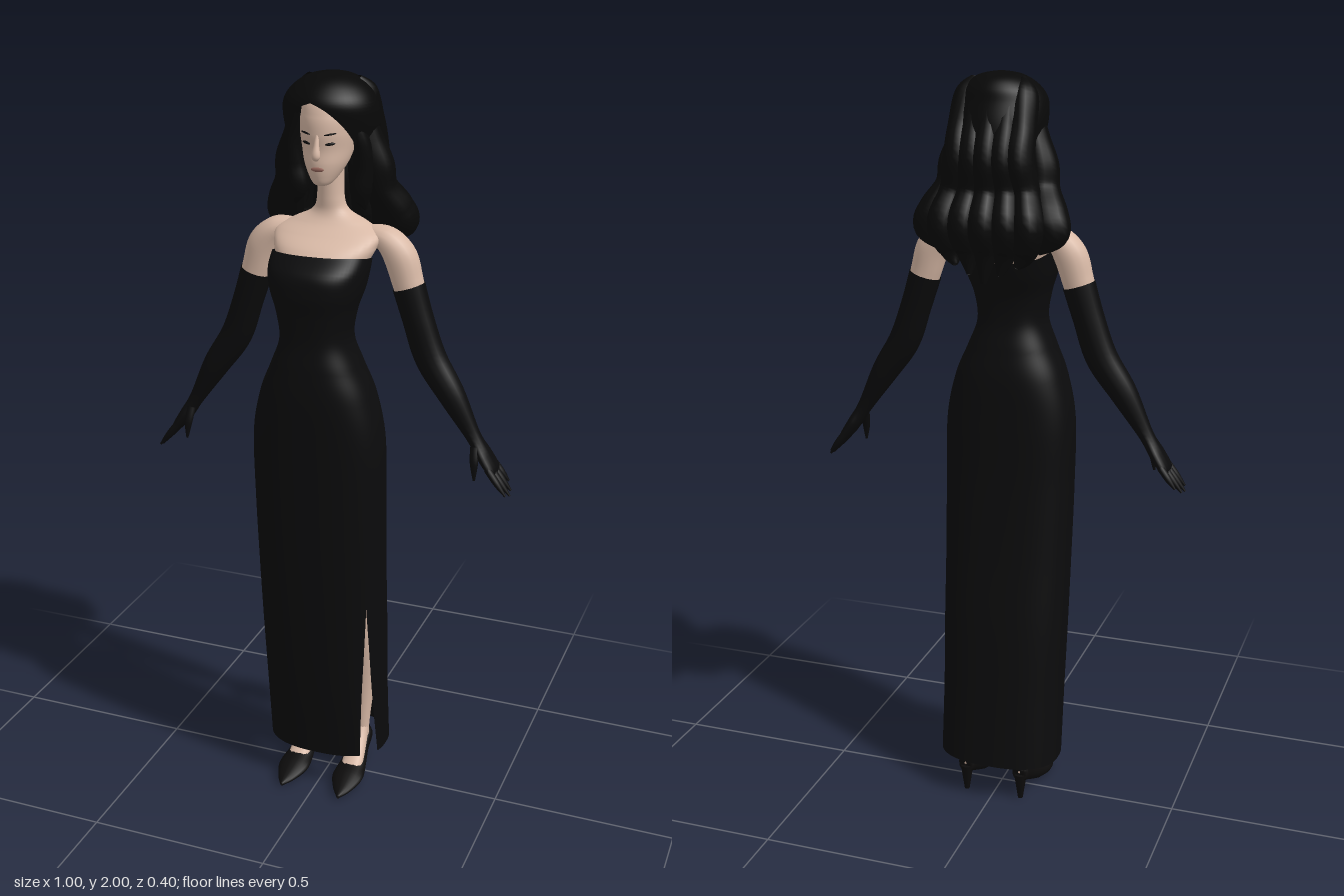
import * as THREE from 'three';
import { ParametricGeometry } from 'three/addons/geometries/ParametricGeometry.js';

const mat = (name, color, side = THREE.FrontSide) => {
  const m = new THREE.MeshStandardMaterial({ color, side });
  m.name = name;
  return m;
};

// Smooth interpolation through rows of numbers, t in 0..1
function rowAt(rows, t) {
  const n = rows.length;
  const s = Math.min(Math.max(t, 0), 1) * (n - 1);
  const i = Math.min(Math.floor(s), n - 2);
  const f = s - i;
  return rows[i].map((b, k) => {
    const a = rows[Math.max(i - 1, 0)][k];
    const c = rows[i + 1][k];
    const d = rows[Math.min(i + 2, n - 1)][k];
    return b + 0.5 * f * (c - a + f * (2 * a - 5 * b + 4 * c - d + f * (3 * (b - c) + d - a)));
  });
}

// Upright shell; rows are [y, centre x, half width, front z, back z].
// An optional opening leaves out a sector around one angle.
function shell(rows, { power = 1, centre = 0, gap = () => 0, top = () => 1, slices = 40, stacks = 40 } = {}) {
  const bend = (v) => Math.sign(v) * Math.pow(Math.abs(v), power);
  return new ParametricGeometry((u, v, p) => {
    const limit = top(centre + u * Math.PI * 2);
    const [y, cx, rx, zf, zb] = rowAt(rows, v * limit);
    const w = gap(y);
    const a = centre + w + (Math.PI * 2 - 2 * w) * u;
    p.set(cx + rx * bend(Math.sin(a)), y, (zf + zb) / 2 + ((zf - zb) / 2) * bend(Math.cos(a)));
  }, slices, stacks);
}

// Tapered limb; rows are [x, y, z, radius along ref, radius across ref]
function limb(rows, ref = new THREE.Vector3(0, 0, 1), slices = 14, stacks = rows.length * 5) {
  return new ParametricGeometry((u, v, p) => {
    const r = rowAt(rows, v);
    const e = 0.01;
    const lo = new THREE.Vector3(...rowAt(rows, v - e).slice(0, 3));
    const T = new THREE.Vector3(...rowAt(rows, v + e).slice(0, 3)).sub(lo).normalize();
    const N = ref.clone().addScaledVector(T, -ref.dot(T)).normalize();
    const B = new THREE.Vector3().crossVectors(T, N);
    p.set(r[0], r[1], r[2])
      .addScaledVector(N, r[3] * Math.cos(u * Math.PI * 2))
      .addScaledVector(B, r[4] * Math.sin(u * Math.PI * 2));
  }, slices, stacks);
}

export function createModel() {
  const model = new THREE.Group();
  const skin = mat('skin', 0xd8b9a6);
  const dressBlack = mat('dress black', 0x0b0b0c, THREE.DoubleSide);
  const gloveBlack = mat('glove black', 0x0a0a0b, THREE.DoubleSide);
  const hairBlack = mat('hair black', 0x080808, THREE.DoubleSide);
  const shoeBlack = mat('shoe black', 0x0c0b0b, THREE.DoubleSide);
  const lipTone = mat('lip rose', 0x96675c);
  const add = (name, geometry, material) => {
    const mesh = new THREE.Mesh(geometry, material);
    mesh.name = name;
    model.add(mesh);
    return mesh;
  };

  // Long dress with a slit on the left and a lower back neckline
  add('dress', shell([
    [0.11, 0, 0.17, 0.115, -0.125], [0.3, 0, 0.17, 0.14, -0.105], [0.5, 0, 0.173, 0.158, -0.085],
    [0.7, 0, 0.175, 0.172, -0.06], [0.9, 0, 0.177, 0.183, -0.042], [1.08, 0, 0.175, 0.192, -0.035],
    [1.2, 0, 0.15, 0.197, -0.03], [1.28, 0, 0.117, 0.193, -0.015], [1.35, 0, 0.092, 0.185, 0],
    [1.42, 0, 0.1, 0.19, -0.005], [1.48, 0, 0.118, 0.2, -0.03], [1.53, 0, 0.126, 0.192, -0.045],
    [1.57, 0, 0.126, 0.145, -0.05],
  ], {
    power: 0.8, centre: 0.98, slices: 64, stacks: 72,
    gap: (y) => 0.24 * Math.max(0, (0.6 - y) / 0.49),
    top: (a) => 1 - 0.1 * Math.pow(0.5 - 0.5 * Math.cos(a), 1.5),
  }), dressBlack);

  // Chest, shoulders and neck
  add('torso', shell([
    [1.4, 0, 0.088, 0.15, 0.005], [1.48, 0, 0.108, 0.16, -0.025], [1.54, 0, 0.12, 0.15, -0.046],
    [1.575, 0, 0.135, 0.125, -0.056], [1.605, 0, 0.14, 0.078, -0.06], [1.63, 0, 0.1, 0.045, -0.055],
    [1.655, 0, 0.05, 0.03, -0.045], [1.69, 0, 0.035, 0.03, -0.04], [1.77, 0, 0.034, 0.035, -0.04],
  ]), skin);

  // Head and face
  add('head', shell([
    [1.728, 0, 0.004, 0.06, 0.05], [1.735, 0, 0.022, 0.078, 0.025], [1.755, 0, 0.038, 0.086, -0.01],
    [1.785, 0, 0.054, 0.09, -0.045], [1.82, 0, 0.064, 0.088, -0.07], [1.86, 0, 0.07, 0.092, -0.08],
    [1.9, 0, 0.07, 0.088, -0.085], [1.94, 0, 0.058, 0.068, -0.075], [1.97, 0, 0.01, 0.01, -0.01],
  ]), skin);
  add('nose', limb([
    [0, 1.865, 0.086, 0.004, 0.004], [0, 1.835, 0.094, 0.007, 0.007],
    [0, 1.808, 0.098, 0.01, 0.011], [0, 1.798, 0.092, 0.002, 0.002],
  ]), skin);
  const plate = (name, material, x, y, z, w, h, turn, tilt = 0) => {
    const m = add(name, new THREE.SphereGeometry(1, 12, 8), material);
    m.scale.set(w, h, 0.004);
    m.position.set(x, y, z);
    m.rotation.set(0, turn, tilt);
  };
  plate('lips', lipTone, 0, 1.775, 0.088, 0.017, 0.006, 0);
  for (const s of [-1, 1]) {
    plate('eye', hairBlack, s * 0.031, 1.838, 0.081, 0.013, 0.0035, s * 0.42, s * 0.12);
    plate('eyebrow', hairBlack, s * 0.032, 1.862, 0.083, 0.016, 0.0022, s * 0.42, s * 0.15);
  }

  // Hair cap, open around the face
  add('hairCap', shell([
    [1.7, 0, 0.09, 0.06, -0.13], [1.76, 0, 0.1, 0.07, -0.14], [1.82, 0, 0.11, 0.085, -0.14],
    [1.88, 0, 0.121, 0.1, -0.13], [1.93, 0, 0.117, 0.108, -0.112], [1.965, 0, 0.095, 0.088, -0.1],
    [1.99, 0, 0.055, 0.05, -0.07], [2.0, 0, 0.003, -0.005, -0.012],
  ], {
    centre: -0.1, slices: 48,
    gap: (y) => (y > 1.935 ? 0 : Math.min(1.35, 2.6 * Math.sqrt((1.935 - y) / 1) + 1.2 * (1.935 - y))),
  }), hairBlack);

  // Wavy locks down the back
  for (let i = -2; i <= 2; i++) {
    const x = i * 0.04;
    const d = Math.abs(i) * 0.007;
    const sway = i * 0.008;
    add('backLock', limb([
      [x * 0.8, 1.985, -0.04 + d, 0.008, 0.008], [x * 0.9, 1.945, -0.058 + d, 0.038, 0.035],
      [x, 1.87, -0.092 + d, 0.042, 0.034], [x, 1.795, -0.118 + d, 0.048, 0.038],
      [x + sway, 1.715, -0.112 + d, 0.044, 0.034], [x + sway * 2, 1.635, -0.138 + d, 0.058, 0.042],
      [x + sway, 1.565, -0.13 + d, 0.036, 0.03], [x, 1.49 + d * 3, -0.145 + d, 0.007, 0.007],
    ]), hairBlack);
  }

  for (const s of [-1, 1]) {
    // Side waves and the locks framing the face
    add('sideWave', limb([
      [s * 0.08, 1.91, -0.01, 0.03, 0.025], [s * 0.1, 1.84, -0.02, 0.04, 0.03],
      [s * 0.115, 1.775, -0.03, 0.046, 0.042], [s * 0.122, 1.715, -0.04, 0.046, 0.042],
      [s * 0.145, 1.655, -0.075, 0.052, 0.052], [s * 0.155, 1.615, -0.095, 0.045, 0.048],
      [s * 0.13, 1.57, -0.115, 0.008, 0.008],
    ]), hairBlack);
    add('faceLock', limb([
      [s * 0.07, 1.91, 0.05, 0.012, 0.012], [s * 0.092, 1.84, 0.025, 0.026, 0.02],
      [s * 0.092, 1.77, 0.008, 0.032, 0.028], [s * 0.085, 1.71, 0.008, 0.028, 0.028],
      [s * 0.095, 1.665, 0.0, 0.005, 0.005],
    ]), hairBlack);

    // Bare upper arm and long glove
    add('upperArm', limb([
      [s * 0.1, 1.6, -0.01, 0.03, 0.025], [s * 0.15, 1.59, -0.01, 0.042, 0.034],
      [s * 0.185, 1.55, -0.01, 0.044, 0.043], [s * 0.205, 1.49, -0.01, 0.04, 0.041],
      [s * 0.22, 1.44, -0.01, 0.037, 0.038],
    ]), skin);
    add('glove', limb([
      [s * 0.209, 1.475, -0.01, 0.042, 0.043], [s * 0.236, 1.39, -0.01, 0.039, 0.041],
      [s * 0.272, 1.29, -0.01, 0.037, 0.042], [s * 0.331, 1.2, -0.006, 0.036, 0.036],
      [s * 0.393, 1.095, -0.006, 0.024, 0.02], [s * 0.425, 1.045, -0.007, 0.037, 0.018],
      [s * 0.449, 1.01, -0.008, 0.041, 0.014], [s * 0.458, 0.997, -0.008, 0.03, 0.004],
    ]), gloveBlack);
    [[-0.039, -0.045, 0.72], [-0.018, -0.02, 0.94], [0.003, 0.005, 1], [0.023, 0.029, 0.9]].forEach(([z, tip, k]) => {
      add('finger', limb([
        [s * 0.442, 1.018, z, 0.01, 0.01], [s * (0.442 + 0.03 * k), 1.018 - 0.038 * k, (z + tip) / 2, 0.01, 0.009],
        [s * (0.442 + 0.058 * k), 1.018 - 0.073 * k, tip, 0.003, 0.003],
      ], undefined, 8), gloveBlack);
    });
    add('thumb', limb([
      [s * 0.403, 1.07, 0.012, 0.012, 0.012], [s * 0.407, 1.03, 0.027, 0.011, 0.011],
      [s * 0.41, 0.985, 0.032, 0.003, 0.003],
    ], undefined, 8), gloveBlack);

    // Leg and instep
    add('leg', limb([
      [s * 0.08, 0.07, -0.055, 0.022, 0.02], [s * 0.08, 0.13, -0.052, 0.023, 0.021],
      [s * 0.083, 0.24, -0.05, 0.032, 0.03], [s * 0.087, 0.38, -0.035, 0.045, 0.042],
      [s * 0.087, 0.54, 0.015, 0.042, 0.04], [s * 0.087, 0.7, 0.04, 0.055, 0.052],
      [s * 0.085, 0.9, 0.065, 0.07, 0.065],
    ]), skin);
    add('instep', limb([
      [s * 0.08, 0.13, -0.055, 0.018, 0.018], [s * 0.08, 0.09, -0.03, 0.023, 0.024],
      [s * 0.081, 0.052, 0.02, 0.03, 0.02], [s * 0.082, 0.03, 0.06, 0.03, 0.012],
    ], new THREE.Vector3(1, 0, 0)), skin);

    // Pointed pump with a slim heel
    add('shoe', limb([
      [s * 0.08, 0.085, -0.09, 0.003, 0.006], [s * 0.08, 0.084, -0.077, 0.024, 0.028],
      [s * 0.08, 0.058, -0.03, 0.028, 0.024], [s * 0.081, 0.031, 0.03, 0.039, 0.025],
      [s * 0.083, 0.022, 0.08, 0.044, 0.02], [s * 0.085, 0.014, 0.13, 0.026, 0.012],
      [s * 0.086, 0.01, 0.165, 0.004, 0.005],
    ], new THREE.Vector3(1, 0, 0)), shoeBlack);
    add('heel', new THREE.CylinderGeometry(0.018, 0.007, 0.075, 10).translate(s * 0.08, 0.0375, -0.077), shoeBlack);
  }
  return model;
}
